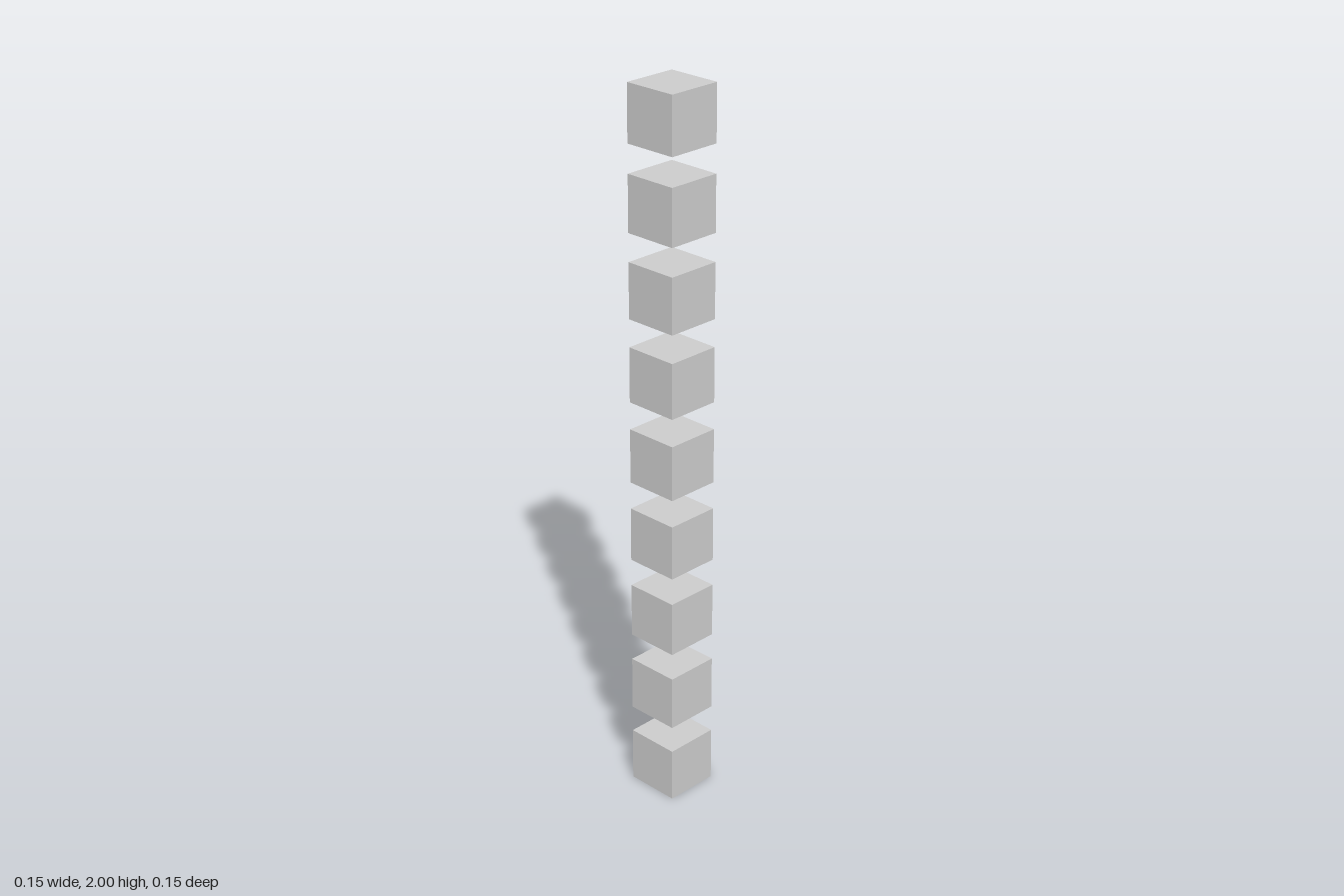
import * as THREE from 'three';

const COUNT = 9;
const SIZE = 2 / 13; // nine cubes and eight half-cube gaps fill a height of 2
const PITCH = SIZE * 1.5;

export function createModel() {
  const model = new THREE.Group();
  model.name = 'cubeColumn';
  const material = new THREE.MeshStandardMaterial({ color: 0xcccccc });
  const geometry = new THREE.BoxGeometry(SIZE, SIZE, SIZE);

  // Evenly spaced cubes, from the ground up
  for (let i = 0; i < COUNT; i++) {
    const cube = new THREE.Mesh(geometry, material);
    cube.name = `cube${i + 1}`;
    cube.position.y = SIZE / 2 + i * PITCH;
    model.add(cube);
  }
  return model;
}
